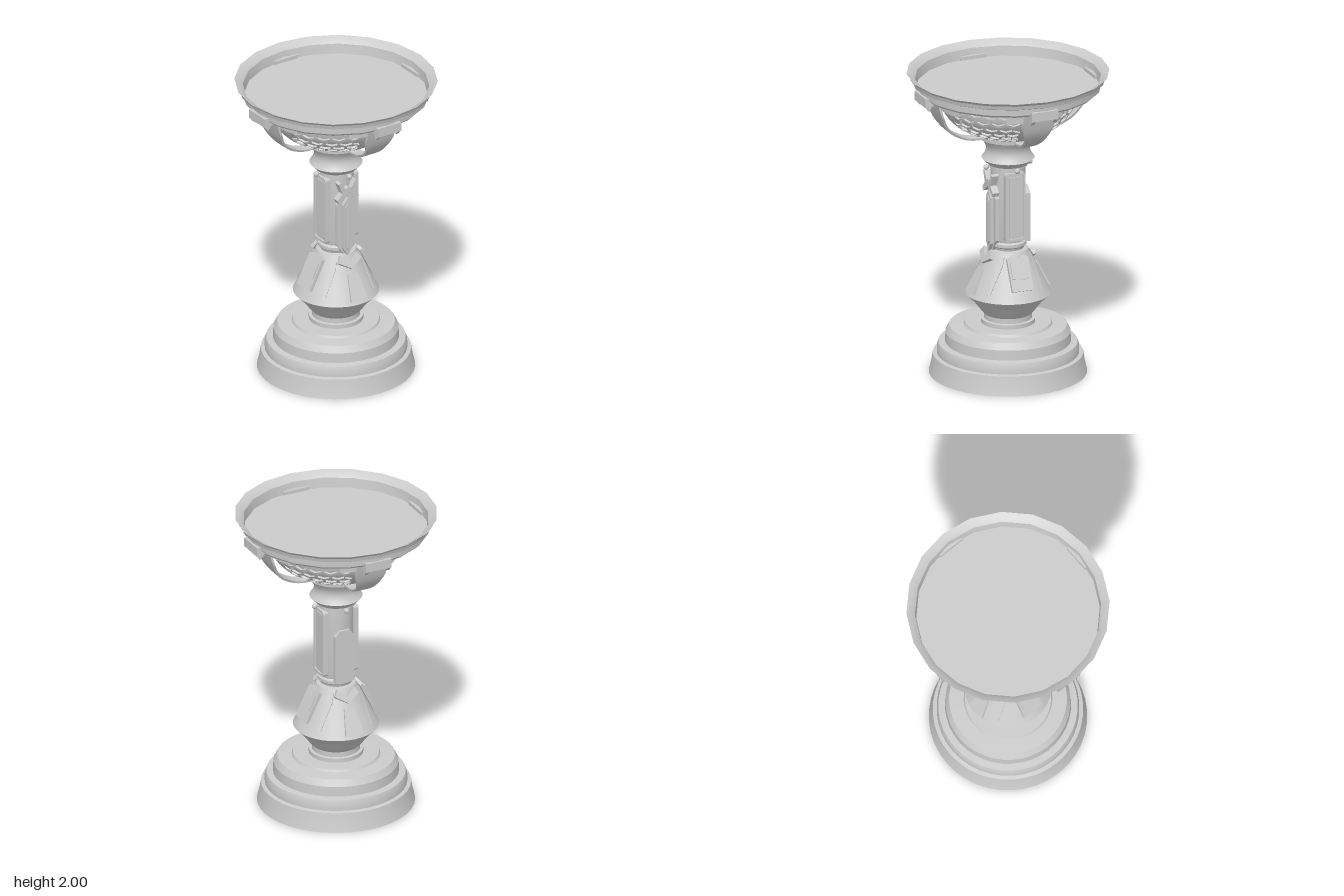
import * as THREE from 'three';
import { toCreasedNormals, mergeGeometries } from 'three/addons/utils/BufferGeometryUtils.js';

const grey = new THREE.MeshStandardMaterial({ color: 0xcccccc, side: THREE.DoubleSide });

export function createModel() {
  const model = new THREE.Group();

  const add = (name, geometry, parent = model) => {
    const mesh = new THREE.Mesh(geometry, grey);
    mesh.name = name;
    parent.add(mesh);
    return mesh;
  };
  const points = (list) => list.map(([x, y]) => new THREE.Vector2(x, y));
  const lathe = (name, profile, sides = 40, start = 0, sweep = Math.PI * 2) =>
    add(name, toCreasedNormals(new THREE.LatheGeometry(points(profile), sides, start, sweep), 0.45));
  const polygon = (list) => new THREE.Shape(points(list));
  // Closed outline from its right half, listed bottom to top
  const mirrored = (half) =>
    polygon([...half, ...half.slice().reverse().filter(([x]) => x > 0).map(([x, y]) => [-x, y])]);
  const roundedRect = (w, h, r) => {
    const s = new THREE.Shape();
    s.absarc(w - r, h - r, r, 0, Math.PI / 2);
    s.absarc(r - w, h - r, r, Math.PI / 2, Math.PI);
    s.absarc(r - w, r - h, r, Math.PI, Math.PI * 1.5);
    s.absarc(w - r, r - h, r, Math.PI * 1.5, Math.PI * 2);
    return s;
  };
  // Flat plate facing outwards at an angle round the axis, optionally leaning back
  const plate = (name, shape, depth, angle, radius, y, lean = 0) => {
    const geometry = new THREE.ExtrudeGeometry(shape, { depth, bevelEnabled: false, curveSegments: 5 });
    geometry.rotateX(-lean).translate(0, y, radius).rotateY(angle);
    return add(name, geometry);
  };

  // Stepped base with a hollow underside
  lathe('base', [[0.5, 0], [0.487, 0.05], [0.475, 0.125], [0.45, 0.13], [0.45, 0.17], [0.44, 0.2],
    [0.398, 0.205], [0.395, 0.27], [0.372, 0.312], [0.28, 0.318], [0.272, 0.333], [0.165, 0.333]]);
  const underside = new THREE.CircleGeometry(0.475, 40);
  underside.rotateX(Math.PI / 2).translate(0, 0.125, 0);
  add('underside', underside);

  // Foot of the stem: spool, wide knop and cone
  lathe('stemFoot', [[0.172, 0.325], [0.172, 0.36], [0.152, 0.362], [0.152, 0.395], [0.172, 0.415], [0.2, 0.455],
    [0.235, 0.495], [0.273, 0.533], [0.265, 0.547], [0.125, 0.825], [0.1, 0.83]]);

  // Shaft with its lower ring, spool neck and cup collar
  lathe('shaft', [[0.1, 0.83], [0.105, 0.845], [0.118, 0.855], [0.118, 0.875], [0.105, 0.885],
    [0.11, 0.9], [0.11, 1.375], [0.125, 1.38], [0.125, 1.392], [0.1, 1.395]], 24);
  lathe('neck', [[0.1, 1.39], [0.13, 1.392], [0.168, 1.43], [0.152, 1.45], [0.14, 1.48], [0.14, 1.505],
    [0.152, 1.535], [0.172, 1.563], [0.19, 1.57], [0.192, 1.6], [0.18, 1.612], [0.1, 1.612]], 32);

  // Studs below the neck
  for (let i = 0; i < 4; i++) {
    const stud = new THREE.Group();
    stud.name = 'stud';
    add('studBall', new THREE.SphereGeometry(0.018, 12, 8).translate(0, 0, 0.15), stud);
    add('studStem', new THREE.CylinderGeometry(0.007, 0.007, 0.05, 8).rotateX(Math.PI / 2).translate(0, 0, 0.12), stud);
    stud.position.y = 1.38;
    stud.rotation.y = i * Math.PI / 2;
    model.add(stud);
  }

  // Framed panels on both sides of the shaft
  for (const angle of [Math.PI / 2, -Math.PI / 2]) {
    const frame = roundedRect(0.068, 0.228, 0.02);
    frame.holes.push(roundedRect(0.053, 0.213, 0.015));
    plate('sidePanelFrame', frame, 0.035, angle, 0.09, 1.13);
    plate('sidePanelBack', roundedRect(0.06, 0.22, 0.018), 0.025, angle, 0.09, 1.13);
    plate('sidePanelInset', roundedRect(0.042, 0.2, 0.012), 0.031, angle, 0.09, 1.13);
  }

  // Pointed ornament on the front of the shaft
  plate('frontPanel', mirrored([[0, 0.8], [0.035, 0.85], [0.068, 0.9], [0.068, 1.18], [0.04, 1.225], [0, 1.26]]),
    0.025, 0, 0.09, 0);
  plate('frontBlade', mirrored([[0, 0.82], [0.036, 0.875], [0.036, 1.18], [0, 1.225]]), 0.045, 0, 0.09, 0);
  plate('frontBladeInset', mirrored([[0, 0.86], [0.022, 0.89], [0.022, 1.16], [0, 1.19]]), 0.052, 0, 0.09, 0);
  plate('frontChevron', mirrored([[0, 1.25], [0.07, 1.2], [0.082, 1.225], [0.045, 1.265], [0.072, 1.335],
    [0.055, 1.345], [0.02, 1.29], [0, 1.305]]), 0.045, 0, 0.095, 0);
  // Plain stepped panel on the back
  plate('backPanel', mirrored([[0, 0.87], [0.065, 0.87], [0.065, 1.19], [0.035, 1.23], [0, 1.23]]),
    0.032, Math.PI, 0.093, 0);

  // Ornaments lying on the cone
  const lean = Math.atan2(0.14, 0.278);
  for (let i = 0; i < 4; i++) {
    const a = i * Math.PI / 2;
    if (i % 2) {
      plate('conePlate', mirrored([[0, -0.1], [0.072, -0.1], [0.072, 0.115], [0.035, 0.13], [0, 0.105]]),
        0.022, a, 0.185, 0.69, lean);
      plate('conePlateInset', mirrored([[0, -0.03], [0.058, -0.02], [0.058, 0.085], [0.035, 0.1], [0, 0.07]]),
        0.03, a, 0.185, 0.69, lean);
    } else {
      plate('coneTongue', mirrored([[0, -0.155], [0.062, -0.155], [0.036, 0.02], [0, 0.02]]),
        0.014, a, 0.185, 0.69, lean);
      plate('coneChevron', mirrored([[0, 0.05], [0.085, 0.105], [0.06, 0.15], [0, 0.1]]),
        0.024, a, 0.185, 0.69, lean);
    }
    // Slanted ridge between the plates
    plate('coneRidge', polygon([[-0.04, -0.13], [-0.02, -0.13], [0.03, 0.06], [0.03, 0.12], [0.015, 0.12], [0.01, 0.06]]),
      0.014, a + Math.PI / 4, 0.183, 0.69, lean);
  }

  // Bowl: lower half of a squashed sphere
  const bowlPoint = (phi, out = 0) => [(0.42 + out) * Math.sin(phi), 1.85 - (0.27 + out) * Math.cos(phi)];
  const phi0 = 0.44;
  const bowlProfile = (out) =>
    Array.from({ length: 13 }, (_, i) => bowlPoint(phi0 + (Math.PI / 2 - phi0) * i / 12, out));
  lathe('bowl', [...bowlProfile(0), [0.42, 1.89]], 40);

  // Honeycomb panels on the four diagonals, a flat hexagon grid mapped onto the bowl
  const step = THREE.MathUtils.degToRad(13.5);
  const hexagon = (r, cx, cy) => Array.from({ length: 6 }, (_, k) => {
    const a = Math.PI / 6 + k * Math.PI / 3;
    return [cx + r * Math.cos(a), cy + r * Math.sin(a)];
  });
  const cells = [];
  for (let row = 0; row < 7; row++) {
    for (let col = -3; col <= 3; col++) {
      const cx = col + (row % 2) * 0.5, cy = 0.45 + row * 0.866;
      if (Math.abs(cx) > 2.1) continue;
      const cell = polygon(hexagon(0.577, cx, cy));
      cell.holes.push(new THREE.Path(points(hexagon(0.46, cx, cy))));
      cells.push(new THREE.ExtrudeGeometry(cell, { depth: 0.014, bevelEnabled: false }));
    }
  }
  const honeycomb = mergeGeometries(cells);
  const pos = honeycomb.attributes.position;
  for (let i = 0; i < pos.count; i++) {
    const phi = 2 * Math.atan(Math.tan(phi0 / 2) * Math.exp(pos.getY(i) * step));
    const [r, y] = bowlPoint(Math.min(phi, 1.56), pos.getZ(i));
    const a = pos.getX(i) * step;
    pos.setXYZ(i, r * Math.sin(a), y, r * Math.cos(a));
  }
  honeycomb.computeVertexNormals();

  // Side outline of a curved strap, thickened into a band
  const strapCurve = new THREE.SplineCurve(points([[0.525, 1.89], [0.503, 1.81], [0.47, 1.725], [0.41, 1.65],
    [0.32, 1.598], [0.25, 1.58], [0.17, 1.578]]));
  const outer = [], inner = [];
  for (let i = 0; i <= 20; i++) {
    const p = strapCurve.getPoint(i / 20), t = strapCurve.getTangent(i / 20);
    outer.push([p.x, p.y]);
    inner.unshift([p.x + t.y * 0.014, p.y - t.x * 0.014]);
  }
  const strap = new THREE.ExtrudeGeometry(polygon([...outer, ...inner]), { depth: 1, bevelEnabled: false });
  strap.translate(0, 0, -0.5).rotateY(-Math.PI / 2);
  const sp = strap.attributes.position;
  for (let i = 0; i < sp.count; i++) {
    const y = sp.getY(i);
    const half = 0.035 + 0.07 * THREE.MathUtils.clamp((y - 1.59) / 0.18, 0, 1);
    sp.setX(i, sp.getX(i) * 2 * half);
  }
  strap.computeVertexNormals();
  const strapGeometry = toCreasedNormals(strap, 0.5);

  for (let i = 0; i < 4; i++) {
    const a = i * Math.PI / 2;
    add('honeycombPanel', honeycomb).rotation.y = a + Math.PI / 4;
    add('strap', strapGeometry).rotation.y = a;
    // Solid rib behind the strap and the block above it
    lathe('bowlRib', bowlProfile(0.017), 4, a - 0.2, 0.4);
    lathe('rimBlock', [[0.36, 1.81], [0.47, 1.81], [0.475, 1.885], [0.36, 1.885], [0.36, 1.81]], 6, a - 0.42, 0.84);
    for (const side of [-0.42, 0.42]) {
      const end = new THREE.PlaneGeometry(0.11, 0.075);
      end.rotateY(Math.PI / 2).translate(0, 1.8475, 0.415).rotateY(a + side);
      add('rimBlockEnd', end);
    }
    // Tab through the rim and small claws beneath it
    add('rimTab', new THREE.BoxGeometry(0.18, 0.06, 0.045).translate(0, 1.893, 0.58).rotateY(a));
    for (const x of [-0.075, 0.075]) {
      const claw = new THREE.ExtrudeGeometry(polygon([[0.52, 1.895], [0.56, 1.86], [0.575, 1.835], [0.595, 1.86], [0.585, 1.895]]),
        { depth: 0.025, bevelEnabled: false });
      claw.translate(0, 0, -0.0125).rotateY(-Math.PI / 2).translate(x, 0, 0).rotateY(a);
      add('claw', claw);
    }
  }

  // Rim moulding, inner wall and floor of the cup
  lathe('rim', [[0.41, 1.865], [0.46, 1.87], [0.48, 1.885], [0.575, 1.89], [0.59, 1.905], [0.592, 1.945], [0.615, 1.955], [0.622, 1.98],
    [0.642, 2], [0.61, 1.985], [0.588, 1.965], [0.58, 1.9], [0, 1.9]], 20);

  return model;
}
